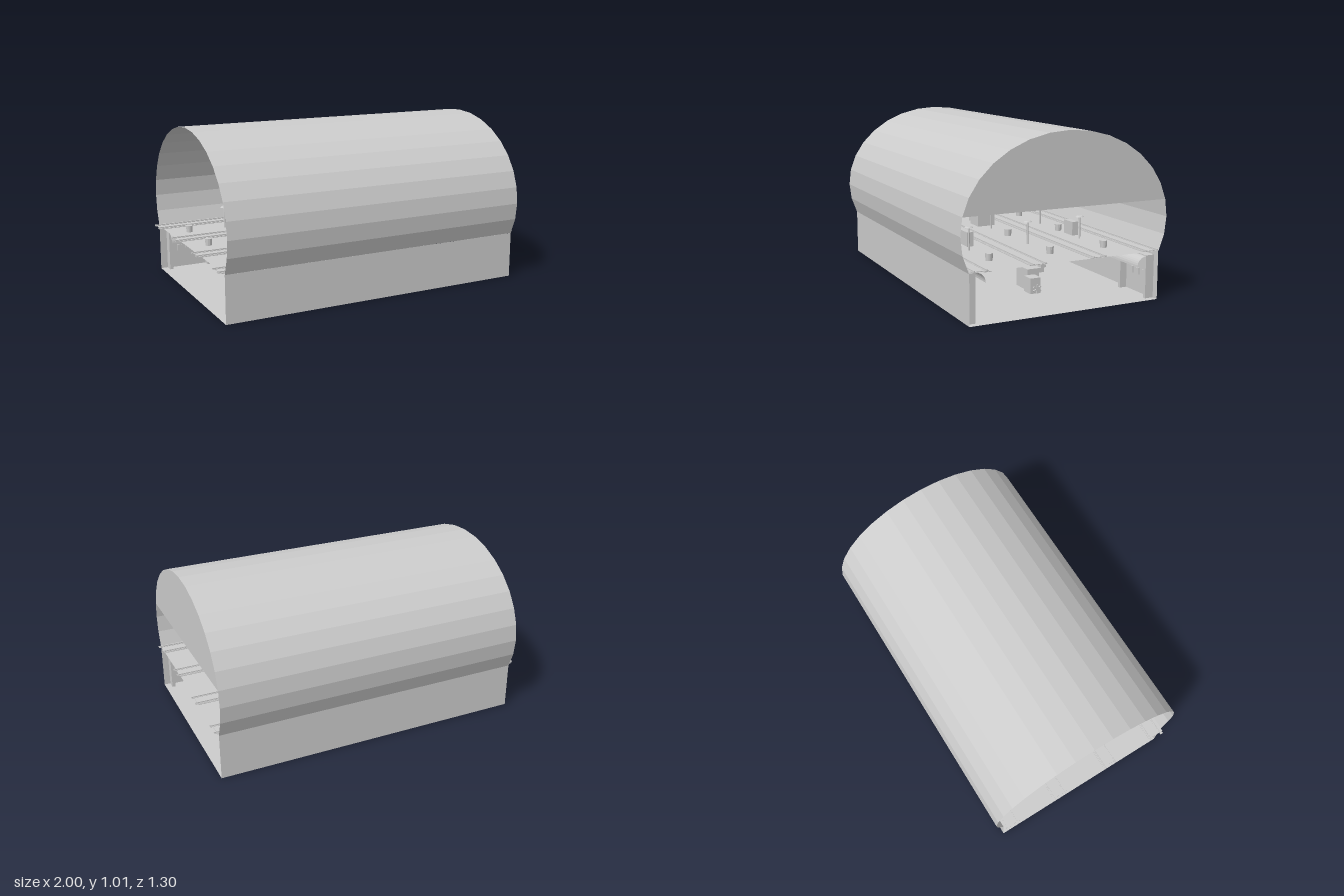
import * as THREE from 'three';

const mat = new THREE.MeshStandardMaterial({ color: 0xcccccc, flatShading: true, side: THREE.DoubleSide });
const X0 = -0.965, X1 = 0.98, LEN = X1 - X0, MID = (X0 + X1) / 2;
const HALF = 0.6, DECK = 0.29;

function add(parent, name, geo, x = 0, y = 0, z = 0) {
  const m = new THREE.Mesh(geo, mat);
  m.name = name;
  m.position.set(x, y, z);
  parent.add(m);
  return m;
}
const box = (parent, name, w, h, d, x, y, z) => add(parent, name, new THREE.BoxGeometry(w, h, d), x, y, z);

// Point on the elliptical vault, angle measured from the crown
const arcPoint = (a) => [0.65 * Math.sin(a), 0.488 + 0.527 * Math.cos(a)];

// Open barrel vault swept along x
function vaultGeometry() {
  const n = 20, step = Math.PI / 16, pos = [], idx = [];
  for (let i = 0; i <= n; i++) {
    const [z, y] = arcPoint((i - n / 2) * step);
    pos.push(X0, y, z, X1, y, z);
    if (i < n) {
      const a = i * 2;
      idx.push(a, a + 2, a + 1, a + 1, a + 2, a + 3);
    }
  }
  const g = new THREE.BufferGeometry();
  g.setAttribute('position', new THREE.Float32BufferAttribute(pos, 3));
  g.setIndex(idx);
  g.computeVertexNormals();
  return g;
}

// Upper end panel closing one end of the vault
function endPanelGeometry() {
  const s = new THREE.Shape();
  for (let i = -7; i <= 7; i++) {
    const [z, y] = arcPoint(i * Math.PI / 16);
    if (i === -7) s.moveTo(z, y); else s.lineTo(z, y);
  }
  return new THREE.ShapeGeometry(s).rotateY(Math.PI / 2);
}

// Flight of steps rising along +x
function staircase(name, run, width) {
  const g = new THREE.Group();
  g.name = name;
  const n = 9, rise = 0.275 / n;
  for (let i = 0; i < n; i++) {
    box(g, 'step', run / n + 0.022, rise, width, (i + 0.5 - n / 2) * run / n, (i + 0.5) * rise, 0);
  }
  return g;
}

// Track: bed, two rails and cross ties
function track(z) {
  const g = new THREE.Group();
  g.name = 'track';
  box(g, 'trackBed', 1.97, 0.004, 0.105, 0, 0.295, 0);
  for (const s of [-1, 1]) {
    box(g, 'rail', 2, 0.007, 0.008, 0, 0.302, s * 0.037);
    box(g, 'railFoot', 2, 0.003, 0.018, 0, 0.298, s * 0.037);
  }
  g.position.z = z;
  return g;
}

// Lamp post with a flat disc shade
function lamp(x, z) {
  const g = new THREE.Group();
  g.name = 'lampPost';
  add(g, 'post', new THREE.CylinderGeometry(0.006, 0.006, 0.135, 8), 0, 0.0675, 0);
  add(g, 'shade', new THREE.CylinderGeometry(0.018, 0.026, 0.008, 12), 0, 0.139, 0);
  g.position.set(x, DECK, z);
  return g;
}

// Wall alcove with an arched canopy and small windows
function alcove(side, h) {
  const g = new THREE.Group();
  g.name = 'alcove';
  for (const x of [-0.13, 0.13]) box(g, 'pier', 0.02, h, 0.055, x, h / 2, 0);
  box(g, 'lintel', 0.28, 0.03, 0.055, 0, h - 0.015, 0);
  box(g, 'backPanel', 0.24, h, 0.008, 0, h / 2, 0.022);
  for (const x of [-0.06, 0, 0.06]) box(g, 'window', 0.03, 0.04, 0.012, x, h * 0.5, 0.016);
  const canopy = new THREE.CylinderGeometry(0.06, 0.06, 0.28, 8, 1, true, 0, Math.PI / 2);
  canopy.rotateZ(Math.PI / 2).rotateX(Math.PI / 2);
  canopy.computeBoundingBox();
  const c = canopy.boundingBox.getCenter(new THREE.Vector3());
  // Orient the quarter arc so it curls down toward the hall
  canopy.translate(-c.x, -c.y, -c.z);
  canopy.scale(1, c.y < 0 ? -1 : 1, c.z > 0 ? -1 : 1);
  add(g, 'canopy', canopy, 0, h - 0.035, -0.057);
  g.scale.z = side;
  g.position.z = side * 0.5725;
  return g;
}

export function createModel() {
  const model = new THREE.Group();
  model.name = 'vaultedStation';

  // Shell
  add(model, 'vault', vaultGeometry());
  add(model, 'endPanel', endPanelGeometry(), X1, 0, 0);
  add(model, 'groundFloor', new THREE.PlaneGeometry(LEN, HALF * 2).rotateX(-Math.PI / 2), MID, 0, 0);
  add(model, 'upperDeck', new THREE.PlaneGeometry(LEN, HALF * 2).rotateX(-Math.PI / 2), MID, DECK, 0);
  for (const s of [-1, 1]) add(model, 'sideWall', new THREE.PlaneGeometry(LEN, 0.286), MID, 0.143, s * HALF);

  // Four tracks
  for (const z of [-0.542, -0.19, 0.19, 0.542]) model.add(track(z));

  // Platform furniture
  for (const z of [-0.36, 0, 0.385]) {
    for (const x of [-0.84, -0.3, 0.24, 0.77]) {
      add(model, 'litterBin', new THREE.CylinderGeometry(0.022, 0.02, 0.042, 12), x, DECK + 0.022, z);
    }
    for (const x of [-0.6, 0, 0.5]) model.add(lamp(x, z));
  }
  for (const [x, z] of [[-0.5, 0.352], [0.4, 0.352], [-0.5, -0.36], [0.4, -0.36]]) {
    box(model, 'noticeBoard', 0.1, 0.085, 0.042, x, 0.342, z);
  }

  // Kiosk on the middle platform
  const kiosk = new THREE.Group();
  kiosk.name = 'kiosk';
  box(kiosk, 'kioskBody', 0.12, 0.12, 0.12, 0, 0.06, 0);
  box(kiosk, 'kioskRoof', 0.14, 0.01, 0.125, 0, 0.135, 0);
  for (const y of [0.09, 0.115]) box(kiosk, 'shelf', 0.13, 0.005, 0.06, 0, y, -0.02);
  kiosk.position.set(-0.15, DECK, -0.008);
  model.add(kiosk);

  // Stairs from the hall to the platforms
  for (const s of [-1, 1]) {
    const side = staircase('sideStairs', 0.16, 0.1);
    side.rotation.y = -s * Math.PI / 2;
    side.position.set(0.1, 0, s * 0.36);
    model.add(side);
  }
  const middle = staircase('middleStairs', 0.3, 0.055);
  middle.position.set(0.1, 0, 0.02);
  model.add(middle);

  // Hall fittings
  for (const [s, h] of [[1, 0.283], [-1, 0.258]]) {
    for (const x of [-0.78, 0.8]) {
      const a = alcove(s, h);
      a.position.x = x;
      model.add(a);
    }
  }
  box(model, 'ticketBooth', 0.14, 0.13, 0.08, 0.42, 0.065, -0.045);
  box(model, 'ticketCounter', 0.08, 0.095, 0.07, 0.53, 0.0475, -0.018);
  const gate = new THREE.Group();
  gate.name = 'turnstile';
  for (let i = 0; i < 3; i++) {
    box(gate, 'turnstileArm', 0.008, 0.055, 0.01, 0, 0, 0).rotation.x = i * Math.PI / 3;
  }
  gate.position.set(0.58, 0.03, -0.025);
  model.add(gate);
  box(model, 'hallBench', 0.1, 0.032, 0.042, 0.4, 0.025, 0.445);

  return model;
}
